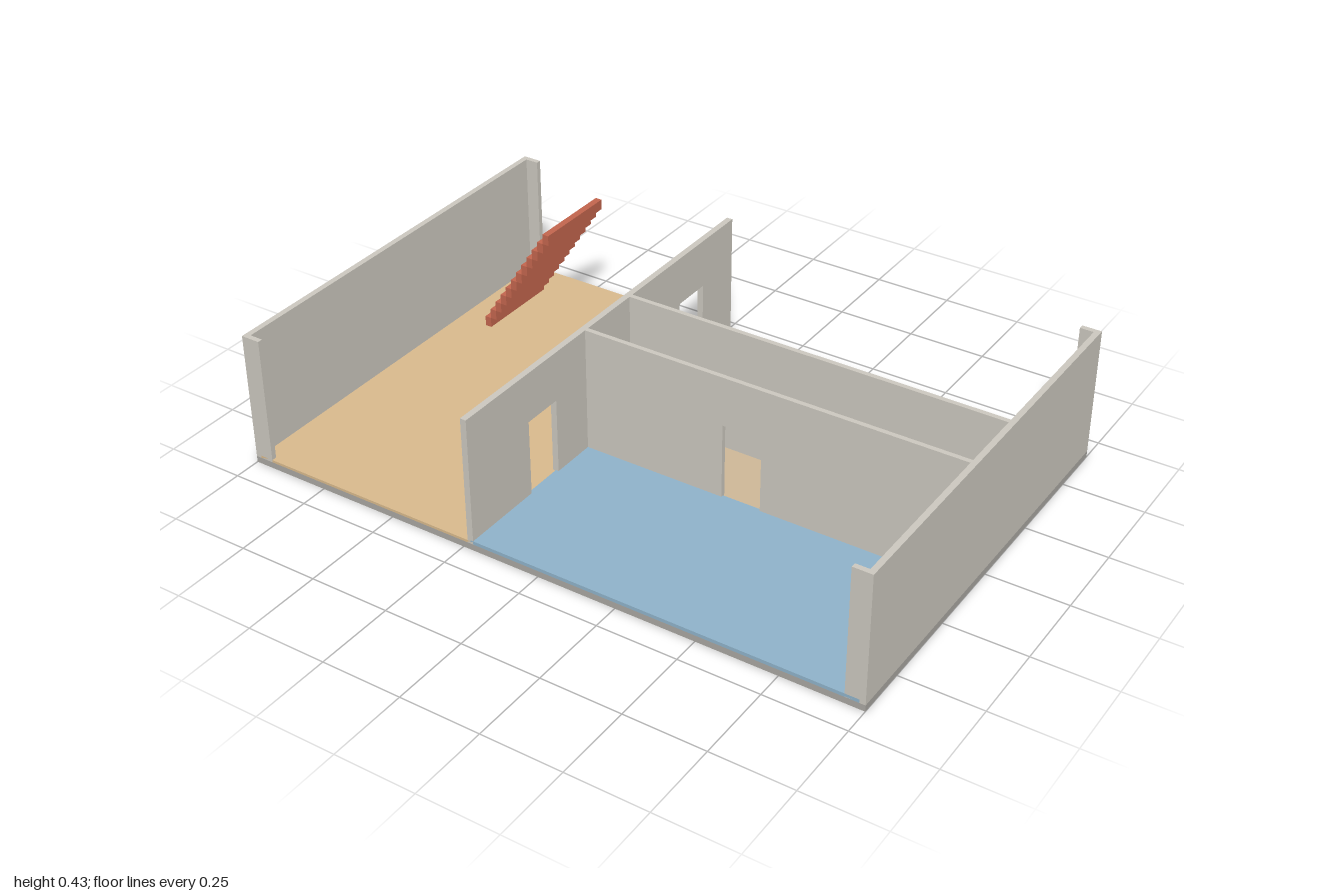
import * as THREE from 'three';

const WALL = 0xcdc9c0;
const W = 1, D = 0.665, TOP = 0.425, BASE = 0.02;

const paint = (color) => new THREE.MeshStandardMaterial({ color, flatShading: true });

export function createModel() {
  const model = new THREE.Group();
  const wallMat = paint(WALL);

  // Box given by its lower and upper corner
  const box = (name, mat, [x0, y0, z0], [x1, y1, z1], parent = model) => {
    const mesh = new THREE.Mesh(new THREE.BoxGeometry(x1 - x0, y1 - y0, z1 - z0), mat);
    mesh.position.set((x0 + x1) / 2, (y0 + y1) / 2, (z0 + z1) / 2);
    mesh.name = name;
    parent.add(mesh);
    return mesh;
  };

  // Upright wall from a to b with doorways cut up from its foot
  const doorWall = (name, a, b, thickness, doors) => {
    const s = new THREE.Shape();
    s.moveTo(a, BASE);
    for (const [d0, d1] of doors) {
      s.lineTo(d0, BASE);
      s.lineTo(d0, 0.27);
      s.lineTo(d1, 0.27);
      s.lineTo(d1, BASE);
    }
    s.lineTo(b, BASE);
    s.lineTo(b, TOP);
    s.lineTo(a, TOP);
    const geo = new THREE.ExtrudeGeometry(s, { depth: thickness, bevelEnabled: false });
    geo.translate(0, 0, -thickness / 2);
    const mesh = new THREE.Mesh(geo, wallMat);
    mesh.name = name;
    model.add(mesh);
    return mesh;
  };

  // Base slab and coloured room floors
  box('slab', paint(0xaaa8a2), [-W, 0, -D], [W, BASE, D]);
  box('mainFloor', paint(0xdabb8e), [-0.982, BASE, -D], [-0.225, 0.028, D]);
  box('frontRoomFloor', paint(0x90b4cb), [-0.225, BASE, 0.111], [0.982, 0.031, D]);
  box('backRoomFloor', paint(0xd08b84), [-0.225, BASE, -D], [0.982, 0.031, -0.111]);
  box('hallFloor', paint(0xcfb999), [-0.225, BASE, -0.111], [0.982, 0.025, 0.111]);

  // Side walls with short returns at the four corners
  for (const s of [-1, 1]) {
    const side = new THREE.Group();
    side.name = s < 0 ? 'rightSideWall' : 'leftSideWall';
    model.add(side);
    const span = (a, b) => (s < 0 ? [-b, -a] : [a, b]);
    const [x0, x1] = span(0.982, W);
    box('wall', wallMat, [x0, BASE, -D], [x1, TOP, D], side);
    const [r0, r1] = span(0.94, 0.982);
    box('backReturn', wallMat, [r0, BASE, -D], [r1, TOP, -D + 0.016], side);
    box('frontReturn', wallMat, [r0, BASE, D - 0.016], [r1, TOP, D], side);
  }

  // Hall walls, each with one doorway
  for (const s of [-1, 1]) {
    const hall = doorWall(s < 0 ? 'backHallWall' : 'frontHallWall', -0.216, 0.982, 0.015, [[0.24, 0.365]]);
    hall.position.z = s * 0.1115;
  }

  // Long partition, turned to run front to back
  const partition = doorWall('partition', -D, D, 0.019, [[-0.395, -0.265], [0.37, 0.5]]);
  partition.rotation.y = Math.PI / 2;
  partition.position.x = -0.225;

  // Open flight of stairs rising towards the partition
  const stairs = new THREE.Group();
  stairs.name = 'stairs';
  model.add(stairs);
  const stairMat = paint(0xc4664e);
  const steps = 12, run = 0.0214, rise = 0.0329;
  for (let i = 0; i < steps; i++) {
    const x = -0.88 + i * run, y = 0.03 + i * rise;
    box('step', stairMat, [x, y, -0.553], [x + run, y + rise, -0.27], stairs);
  }
  return model;
}
